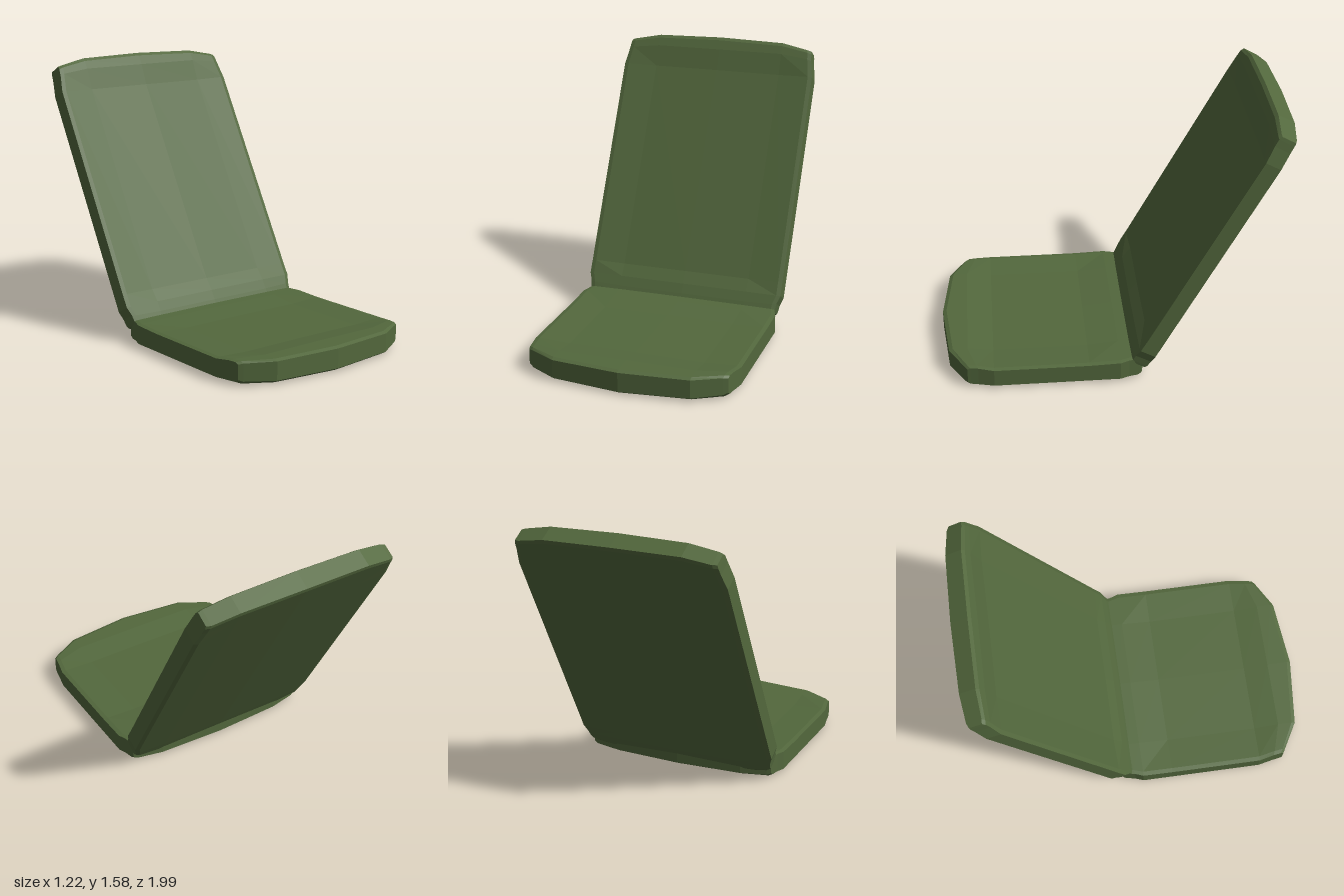
import * as THREE from 'three';

const olive = new THREE.MeshStandardMaterial({ color: 0x53683d, flatShading: true });
olive.name = 'olive green';

// Padded slab lofted along z, with softened edges. Each row: half width w, z at
// centre / mid / inner side / edge, top and bottom heights, and sag of the middle.
function padGeometry(rows) {
  const drop = [0, 0.002, 0.005, 0.01], lift = [0, 0.004, 0.008, 0.018];
  const columns = [-3, -2, -1, 0, 1, 2, 3];
  const grid = rows.map(({ w, z, top, bottom, sag }) => columns.map((c) => {
    const k = Math.abs(c);
    const x = Math.sign(c) * [0, 0.4, w - 0.025, w][k];
    return {
      t: [x, top - drop[k] - (k < 2 ? sag : 0), z[k]],
      b: [x, bottom + lift[k], z[k]],
    };
  }));
  const pos = [];
  const quad = (a, b, c, d) => pos.push(...a, ...b, ...c, ...a, ...c, ...d);
  const last = grid.length - 1, edge = columns.length - 1;
  for (let i = 0; i < last; i++) {
    const p = grid[i], q = grid[i + 1];
    for (let j = 0; j < edge; j++) {
      quad(p[j].t, q[j].t, q[j + 1].t, p[j + 1].t);
      quad(p[j].b, p[j + 1].b, q[j + 1].b, q[j].b);
    }
    // side walls
    quad(p[0].b, q[0].b, q[0].t, p[0].t);
    quad(q[edge].b, p[edge].b, p[edge].t, q[edge].t);
  }
  // end walls
  const f = grid[last], r = grid[0];
  for (let j = 0; j < edge; j++) {
    quad(f[j].b, f[j + 1].b, f[j + 1].t, f[j].t);
    quad(r[j + 1].b, r[j].b, r[j].t, r[j + 1].t);
  }
  const geo = new THREE.BufferGeometry();
  geo.setAttribute('position', new THREE.Float32BufferAttribute(pos, 3));
  geo.computeVertexNormals();
  return geo;
}

const row = (w, z, top, bottom, sag = 0) =>
  ({ w, z: Array.isArray(z) ? z : [z, z, z, z], top, bottom, sag });

export function createModel() {
  const model = new THREE.Group();
  model.name = 'legless chair';

  // seat cushion, back to front
  const seat = new THREE.Mesh(padGeometry([
    row(0.58, [-0.2, -0.187, -0.157, -0.15], 0.132, 0.014),
    row(0.584, [-0.18, -0.167, -0.138, -0.128], 0.141, 0.003),
    row(0.593, [-0.1, -0.1, -0.09, -0.08], 0.141, 0.002),
    row(0.611, -0.03, 0.138, 0),
    row(0.611, 0.15, 0.132, 0, 0.012),
    row(0.611, 0.7, 0.132, 0, 0.012),
    row(0.592, [0.85, 0.85, 0.8, 0.79], 0.141, 0.002),
    row(0.585, [0.975, 0.935, 0.852, 0.835], 0.141, 0.004),
    row(0.583, [0.997, 0.957, 0.868, 0.852], 0.131, 0.018),
  ]), olive);
  seat.name = 'seatCushion';

  // backrest cushion, top end to bottom end, tilted up and backwards
  const back = new THREE.Mesh(padGeometry([
    row(0.585, [-1.822, -1.813, -1.78, -1.774], -0.025, -0.136),
    row(0.588, [-1.8, -1.791, -1.761, -1.754], -0.015, -0.141),
    row(0.593, [-1.74, -1.74, -1.72, -1.71], -0.014, -0.141),
    row(0.611, -1.61, -0.018, -0.141, 0.012),
    row(0.611, -0.33, -0.018, -0.141, 0.012),
    row(0.611, -0.25, -0.016, -0.141),
    row(0.594, [-0.19, -0.19, -0.195, -0.2], -0.014, -0.141),
    row(0.588, [-0.12, -0.125, -0.15, -0.16], -0.015, -0.14),
    row(0.585, [-0.1, -0.105, -0.135, -0.145], -0.024, -0.132),
  ]), olive);
  back.name = 'backrestCushion';
  back.rotation.x = THREE.MathUtils.degToRad(61.2);

  model.add(seat, back);
  return model;
}
